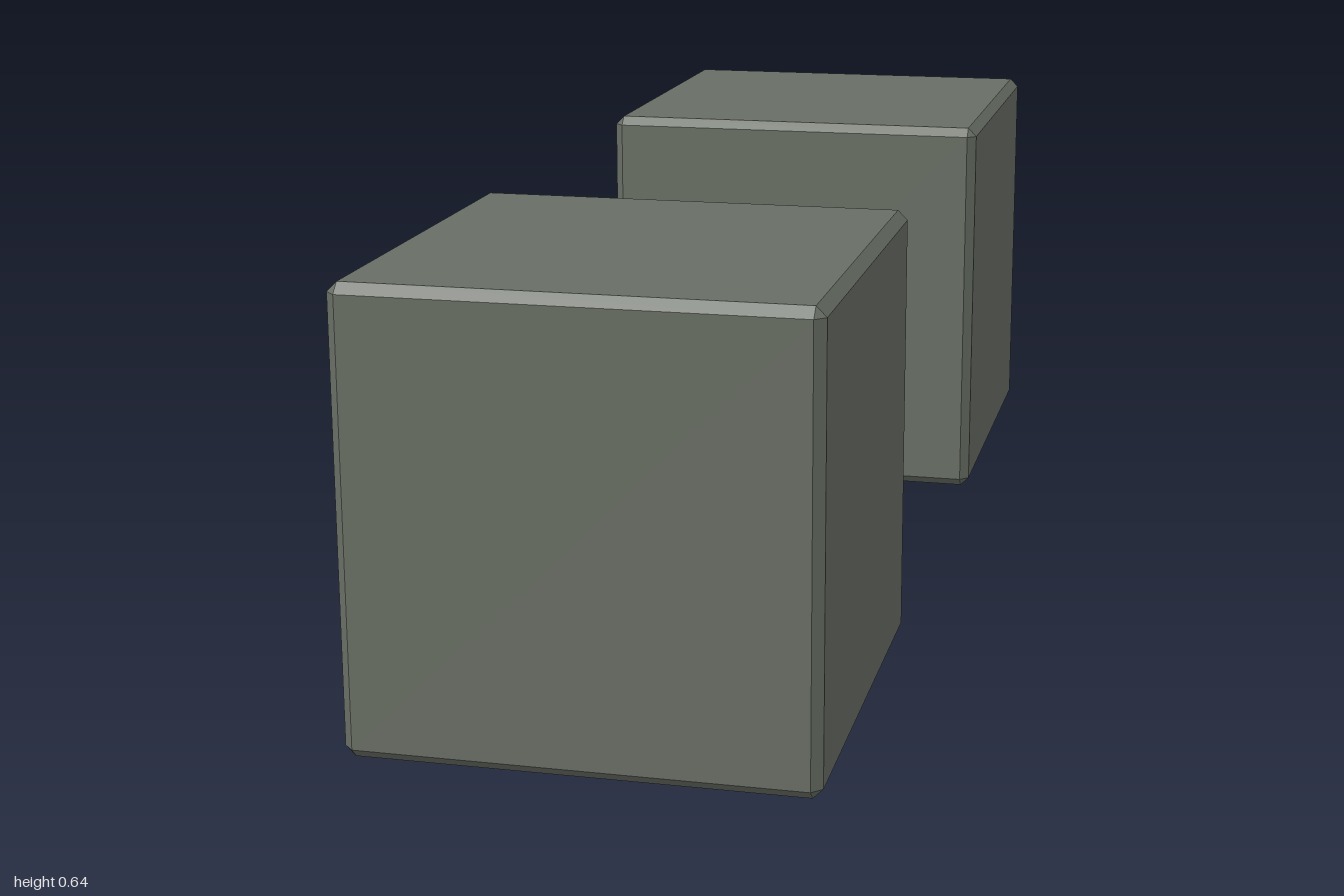
import * as THREE from 'three';
import { ConvexGeometry } from 'three/addons/geometries/ConvexGeometry.js';
import { toCreasedNormals } from 'three/addons/utils/BufferGeometryUtils.js';

const SIDES = 7;
const AXIS_Y = 0.33;

// Cube with flat chamfered edges, centred on its origin
function chamferedCube(size, chamfer) {
  const h = size / 2, k = h - chamfer;
  const points = [];
  for (const x of [-1, 1]) for (const y of [-1, 1]) for (const z of [-1, 1]) {
    points.push(
      new THREE.Vector3(x * h, y * k, z * k),
      new THREE.Vector3(x * k, y * h, z * k),
      new THREE.Vector3(x * k, y * k, z * h),
    );
  }
  return new ConvexGeometry(points);
}

export function createModel() {
  const stone = new THREE.MeshStandardMaterial({ color: 0x686e64 });
  stone.name = 'greyStone';
  const leather = new THREE.MeshStandardMaterial({ color: 0x704a33 });
  leather.name = 'brownBand';

  const model = new THREE.Group();
  model.name = 'dumbbell';
  const add = (name, geometry, material, y, z) => {
    const mesh = new THREE.Mesh(geometry, material);
    mesh.name = name;
    mesh.position.set(0, y, z);
    model.add(mesh);
  };

  // Handle: seven-sided bar along z, running into both weights
  const bar = new THREE.CylinderGeometry(0.114, 0.114, 0.76, SIDES, 1, true, -Math.PI / 2);
  bar.rotateX(Math.PI / 2);
  add('handle', bar, stone, AXIS_Y, 0);

  // Band: seven-sided collar with bevelled rims
  const profile = [
    [0.095, -0.034], [0.136, -0.034], [0.144, -0.031], [0.149, -0.024],
    [0.149, 0.024], [0.144, 0.031], [0.136, 0.034], [0.095, 0.034],
  ].map(([r, y]) => new THREE.Vector2(r, y));
  const lathe = new THREE.LatheGeometry(profile, SIDES, Math.PI / 2);
  lathe.rotateX(Math.PI / 2);
  const band = toCreasedNormals(lathe, Math.PI * 0.3);

  const cube = chamferedCube(0.64, 0.014);

  // One weight and one band at each end
  for (const [end, s] of [['front', 1], ['back', -1]]) {
    add(end + 'Weight', cube, stone, 0.32, s * 0.68);
    add(end + 'Band', band, leather, AXIS_Y, s * 0.233);
  }
  return model;
}
